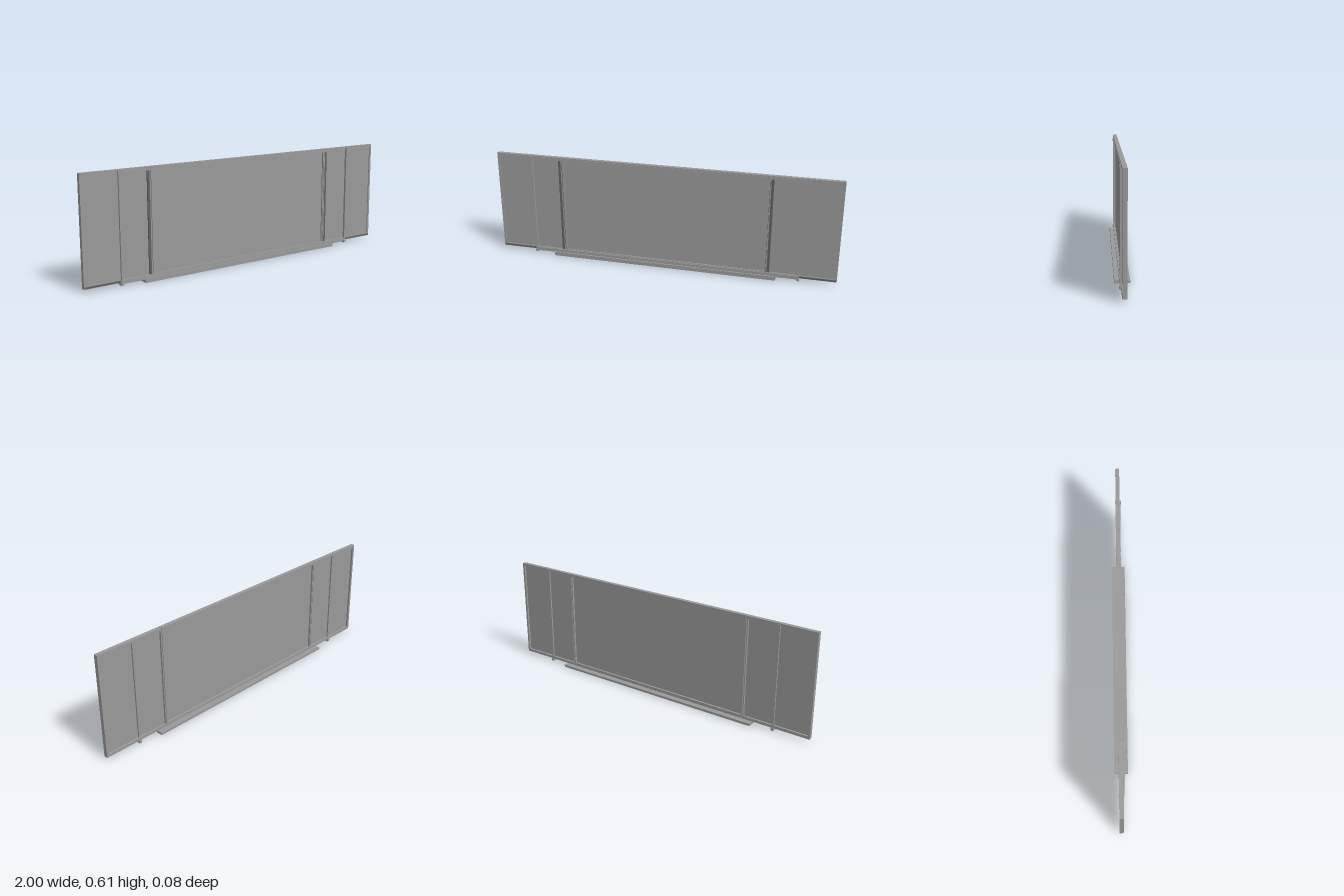
import * as THREE from 'three';

const grey = new THREE.MeshStandardMaterial({ color: 0x999999, flatShading: true });
const dark = new THREE.MeshStandardMaterial({ color: 0x606060, flatShading: true });

function add(parent, name, geometry, material = grey) {
  const mesh = new THREE.Mesh(geometry, material);
  mesh.name = name;
  parent.add(mesh);
  return mesh;
}

// Box given by its limits on each axis
function box(parent, name, [x0, x1], [y0, y1], [z0, z1], material) {
  const mesh = add(parent, name, new THREE.BoxGeometry(x1 - x0, y1 - y0, z1 - z0), material);
  mesh.position.set((x0 + x1) / 2, (y0 + y1) / 2, (z0 + z1) / 2);
}

// Four bars around an open middle; stiles are the widths of the two upright bars
function frame(parent, name, [x0, x1], [y0, y1], z, [stile0, stile1], rail) {
  const group = new THREE.Group();
  group.name = name;
  parent.add(group);
  box(group, 'topRail', [x0, x1], [y1 - rail, y1], z);
  box(group, 'lowerRail', [x0, x1], [y0, y0 + rail], z);
  box(group, 'stile', [x0, x0 + stile0], [y0 + rail, y1 - rail], z);
  box(group, 'stile', [x1 - stile1, x1], [y0 + rail, y1 - rail], z);
}

export function createModel() {
  const model = new THREE.Group();
  model.name = 'foldingBoard';
  const height = [0.017, 0.612];
  const depth = [-0.013, 0.01];
  const inside = [0.03, 0.594];

  // Centre board, recessed in its frame on both faces
  frame(model, 'centreFrame', [-0.599, 0.599], height, depth, [0.007, 0.007], 0.018);
  box(model, 'centrePanel', [-0.594, 0.594], inside, [-0.002, 0.002]);

  // Wings on both sides
  for (const side of [-1, 1]) {
    const span = (a, b) => (side > 0 ? [a, b] : [-b, -a]);
    const wing = new THREE.Group();
    wing.name = side > 0 ? 'leftWing' : 'rightWing';
    model.add(wing);
    const stiles = side > 0 ? [0.006, 0.013] : [0.013, 0.006];
    frame(wing, 'wingFrame', span(0.602, 1), height, depth, stiles, 0.016);
    box(wing, 'outerPanel', span(0.785, 0.99), [0.03, 0.6], [-0.002, 0.005]);
    box(wing, 'innerPanel', span(0.605, 0.785), inside, [-0.002, 0.003]);

    // Dark seals beside the hinge and along the wing's lower edge
    box(wing, 'hingeSeal', span(0.6, 0.622), [0.03, 0.592], [0, 0.009], dark);
    box(wing, 'lowerSeal', span(0.793, 0.997), [0.019, 0.029], [0.009, 0.011], dark);

    // Post with a clamp at each end
    box(wing, 'post', span(0.78, 0.79), [0.017, 0.605], [-0.011, 0.016]);
    box(wing, 'lowerClamp', span(0.777, 0.793), [0.002, 0.018], [-0.017, 0.018]);
    box(wing, 'upperClampFront', span(0.777, 0.793), [0.587, 0.605], [0.009, 0.018]);
    box(wing, 'upperClampBack', span(0.777, 0.793), [0.587, 0.605], [-0.017, -0.012]);
  }

  // Rails along the front, between the posts
  box(model, 'frontLowerRail', [-0.78, 0.78], [0.01, 0.03], [0.003, 0.015]);
  box(model, 'frontUpperRail', [-0.78, 0.78], [0.592, 0.605], [0.005, 0.012]);

  // Tray with a raised front lip, extruded along x (negative profile x is the front)
  const profile = new THREE.Shape([
    [-0.04, 0], [0.04, 0], [0.04, 0.013], [-0.032, 0.013], [-0.032, 0.023], [-0.04, 0.023],
  ].map(([a, b]) => new THREE.Vector2(a, b)));
  const tray = add(model, 'tray', new THREE.ExtrudeGeometry(profile, { depth: 1.324, bevelEnabled: false }));
  tray.rotation.y = Math.PI / 2;
  tray.position.x = -0.662;

  return model;
}
